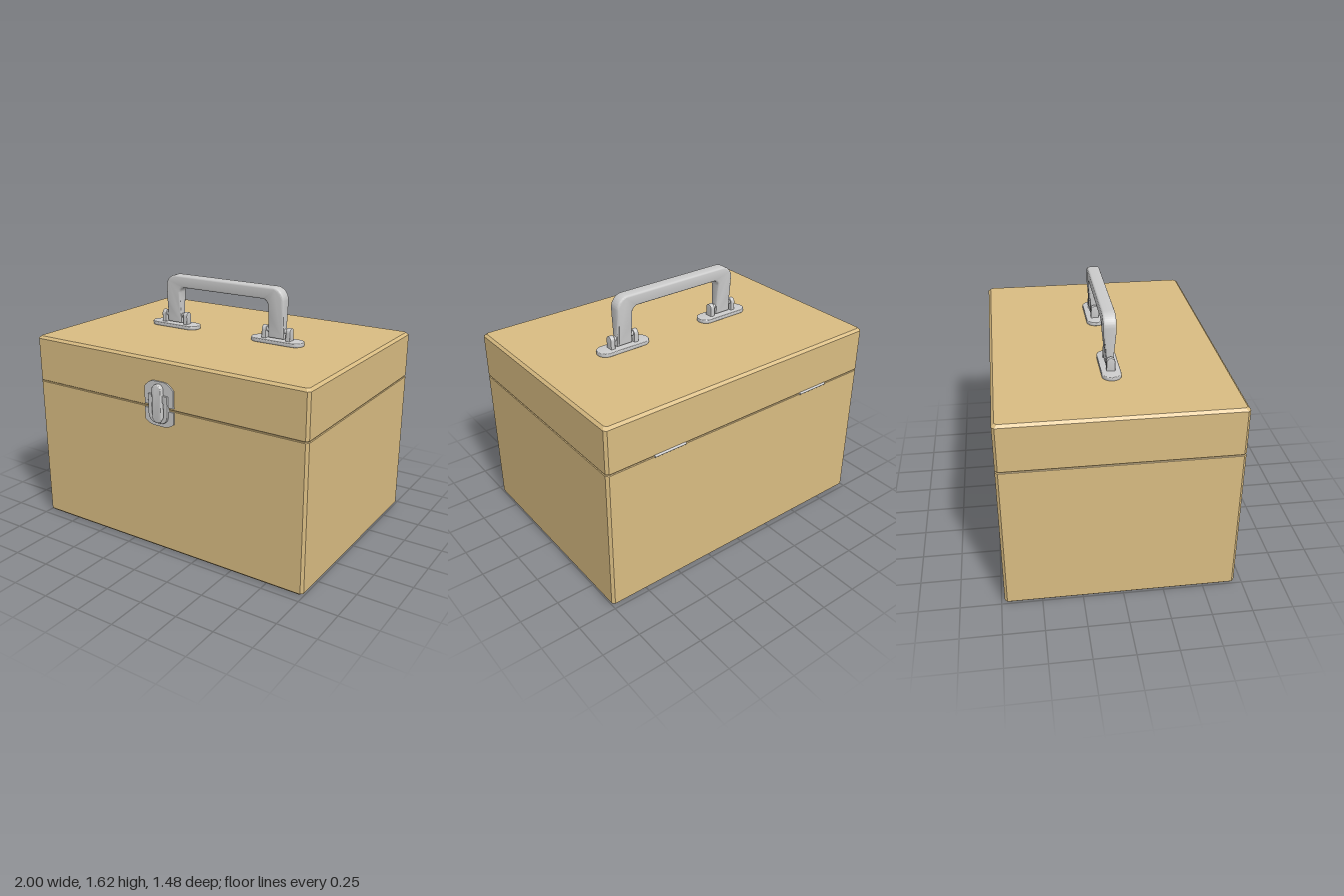
import * as THREE from 'three';
import { toCreasedNormals } from 'three/addons/utils/BufferGeometryUtils.js';
import { ConvexGeometry } from 'three/addons/geometries/ConvexGeometry.js';

const tan = new THREE.MeshStandardMaterial({ color: 0xd9bc82 });
const metal = new THREE.MeshStandardMaterial({ color: 0xcccccc });
const ZC = -0.015; // depth centre of the case

function add(parent, name, geometry, material = metal) {
  const mesh = new THREE.Mesh(geometry, material);
  mesh.name = name;
  parent.add(mesh);
  return mesh;
}

// Box with chamfered upright edges; levels are [y, inset] pairs
function chamferedBox(levels, c = 0.016) {
  const points = [];
  for (const [y, inset] of levels) {
    const w = 1 - inset, d = 0.715 - inset;
    for (const sx of [-1, 1]) for (const sz of [-1, 1]) {
      points.push(new THREE.Vector3(sx * (w - c), y, ZC + sz * d));
      points.push(new THREE.Vector3(sx * w, y, ZC + sz * (d - c)));
    }
  }
  return new ConvexGeometry(points);
}

// Extrusion from z = 0 to z = depth, bevel kept inside the depth and outline
function slab(shape, depth, bevel = 0) {
  const geo = new THREE.ExtrudeGeometry(shape, {
    depth: depth - 2 * bevel, curveSegments: 16, bevelEnabled: bevel > 0,
    bevelSize: bevel, bevelThickness: bevel, bevelOffset: -bevel, bevelSegments: 3,
  });
  geo.translate(0, 0, bevel);
  return toCreasedNormals(geo, 0.6);
}

// Upright pill outline between two heights
function pill(r, bottom, top) {
  const s = new THREE.Shape();
  s.absarc(0, top - r, r, 0, Math.PI, false);
  s.absarc(0, bottom + r, r, Math.PI, Math.PI * 2, false);
  s.closePath();
  return s;
}

// Arched grip whose legs get narrower in depth towards the pivots
function gripGeometry() {
  const s = new THREE.Shape();
  const legYs = [1.34, 1.38, 1.42, 1.46, 1.5];
  s.moveTo(0.45, 1.295);
  legYs.forEach(y => s.lineTo(0.45, y));
  s.absarc(0.37, 1.54, 0.08, 0, Math.PI / 2, false);
  s.absarc(-0.37, 1.54, 0.08, Math.PI / 2, Math.PI, false);
  [...legYs].reverse().forEach(y => s.lineTo(-0.45, y));
  s.lineTo(-0.45, 1.295);
  s.lineTo(-0.34, 1.295);
  legYs.slice(0, 4).forEach(y => s.lineTo(-0.34, y));
  s.absarc(-0.3, 1.5, 0.04, Math.PI, Math.PI / 2, true);
  s.absarc(0.3, 1.5, 0.04, Math.PI / 2, 0, true);
  legYs.slice(0, 4).reverse().forEach(y => s.lineTo(0.34, y));
  s.lineTo(0.34, 1.295);
  s.closePath();
  const depth = 0.08, bevel = 0.012;
  const geo = new THREE.ExtrudeGeometry(s, {
    depth: depth - 2 * bevel, curveSegments: 10, bevelSize: bevel,
    bevelThickness: bevel, bevelOffset: -bevel, bevelSegments: 3,
  });
  geo.translate(0, 0, bevel - depth / 2);
  const p = geo.attributes.position;
  for (let i = 0; i < p.count; i++) {
    const t = THREE.MathUtils.smoothstep(p.getY(i), 1.33, 1.54);
    p.setZ(i, p.getZ(i) * (0.62 + 0.38 * t) + ZC);
  }
  return toCreasedNormals(geo, 0.6);
}

// Half of the latch plate: straight at the seam, sloped shoulders at the far end
function latchPlate(seamY, endY) {
  const shoulder = seamY + (endY - seamY) * 0.72;
  const s = new THREE.Shape();
  s.moveTo(-0.107, seamY);
  s.lineTo(0.107, seamY);
  s.lineTo(0.107, shoulder);
  s.quadraticCurveTo(0.07, endY, 0.035, endY);
  s.lineTo(-0.035, endY);
  s.quadraticCurveTo(-0.07, endY, -0.107, shoulder);
  s.closePath();
  return s;
}

export function createModel() {
  const model = new THREE.Group();
  model.name = 'caseWithHandle';

  // Case body, lid and the recessed seam between them
  add(model, 'caseBody', chamferedBox([[0, 0.016], [0.016, 0], [0.956, 0], [0.96, 0.004]]), tan);
  add(model, 'seam', chamferedBox([[0.95, 0.006], [0.97, 0.006]]), tan);
  add(model, 'lid', chamferedBox([[0.963, 0.004], [0.967, 0], [1.249, 0], [1.265, 0.016]]), tan);

  // Handle with its two mounts
  const handle = new THREE.Group();
  handle.name = 'handle';
  model.add(handle);
  add(handle, 'grip', gripGeometry());
  for (const side of [1, -1]) {
    const mount = new THREE.Group();
    mount.name = side > 0 ? 'leftMount' : 'rightMount';
    mount.position.set(side * 0.395, 1.264, ZC);
    handle.add(mount);

    const base = slab(pill(0.059, -0.185, 0.185), 0.025, 0.004);
    base.rotateZ(Math.PI / 2).rotateX(-Math.PI / 2);
    add(mount, 'mountPlate', base);

    // Round-topped lugs on both sides of the leg
    for (const s of [1, -1]) {
      const lug = new THREE.Shape();
      lug.moveTo(-0.026, 0.02);
      lug.lineTo(0.026, 0.02);
      lug.absarc(0, 0.08, 0.026, 0, Math.PI, false);
      lug.closePath();
      const geo = slab(lug, 0.03, 0.003);
      geo.translate(0, 0, -0.015).rotateY(Math.PI / 2);
      add(mount, 'lug', geo).position.x = s * 0.087;
    }
    const pin = new THREE.CylinderGeometry(0.016, 0.016, 0.19, 20);
    add(mount, 'pivotPin', pin.rotateZ(Math.PI / 2)).position.y = 0.08;
  }

  // Front latch
  const latch = new THREE.Group();
  latch.name = 'latch';
  latch.position.z = 0.699;
  model.add(latch);
  add(latch, 'upperLatchPlate', slab(latchPlate(0.978, 1.132), 0.011));
  const lower = latchPlate(-0.954, -0.848);
  const lowerGeo = slab(lower, 0.011);
  // Turn the outline over in its own plane so it points downwards
  lowerGeo.rotateZ(Math.PI);
  lowerGeo.translate(0, 1.802, 0).translate(0, -(0.954 + 0.848) + 0, 0);
  add(latch, 'lowerLatchPlate', lowerGeo);
  lowerGeo.computeBoundingBox();
  lowerGeo.translate(0, 0.848 - lowerGeo.boundingBox.min.y, 0);
  // The wide edge belongs at the seam
  const mid = (0.954 + 0.848) / 2;
  const b = lowerGeo.attributes.position;
  let wideAtTop = false;
  for (let i = 0; i < b.count; i++)
    if (b.getY(i) > mid + 0.05 && Math.abs(b.getX(i)) > 0.1) wideAtTop = true;
  if (!wideAtTop) lowerGeo.translate(0, -mid, 0).rotateZ(Math.PI).translate(0, mid, 0);

  // U-shaped catch around the lever
  const catchShape = new THREE.Shape();
  catchShape.moveTo(0.07, 1.05);
  catchShape.lineTo(-0.07, 1.05);
  catchShape.lineTo(-0.07, 0.925);
  catchShape.quadraticCurveTo(-0.066, 0.875, -0.02, 0.872);
  catchShape.lineTo(0.02, 0.872);
  catchShape.quadraticCurveTo(0.066, 0.875, 0.07, 0.925);
  catchShape.closePath();
  catchShape.holes.push(new THREE.Path(pill(0.042, 0.885, 1.03).getPoints(12)));
  add(latch, 'catch', slab(catchShape, 0.026, 0.003));
  add(latch, 'lever', slab(pill(0.035, 0.875, 1.118), 0.037, 0.006));

  // Hinge knuckles along the back seam
  for (const side of [1, -1]) {
    const knuckle = new THREE.CylinderGeometry(0.008, 0.008, 0.22, 16);
    knuckle.rotateZ(Math.PI / 2);
    add(model, side > 0 ? 'leftHinge' : 'rightHinge', knuckle)
      .position.set(side * 0.57, 0.962, -0.732);
  }
  return model;
}
